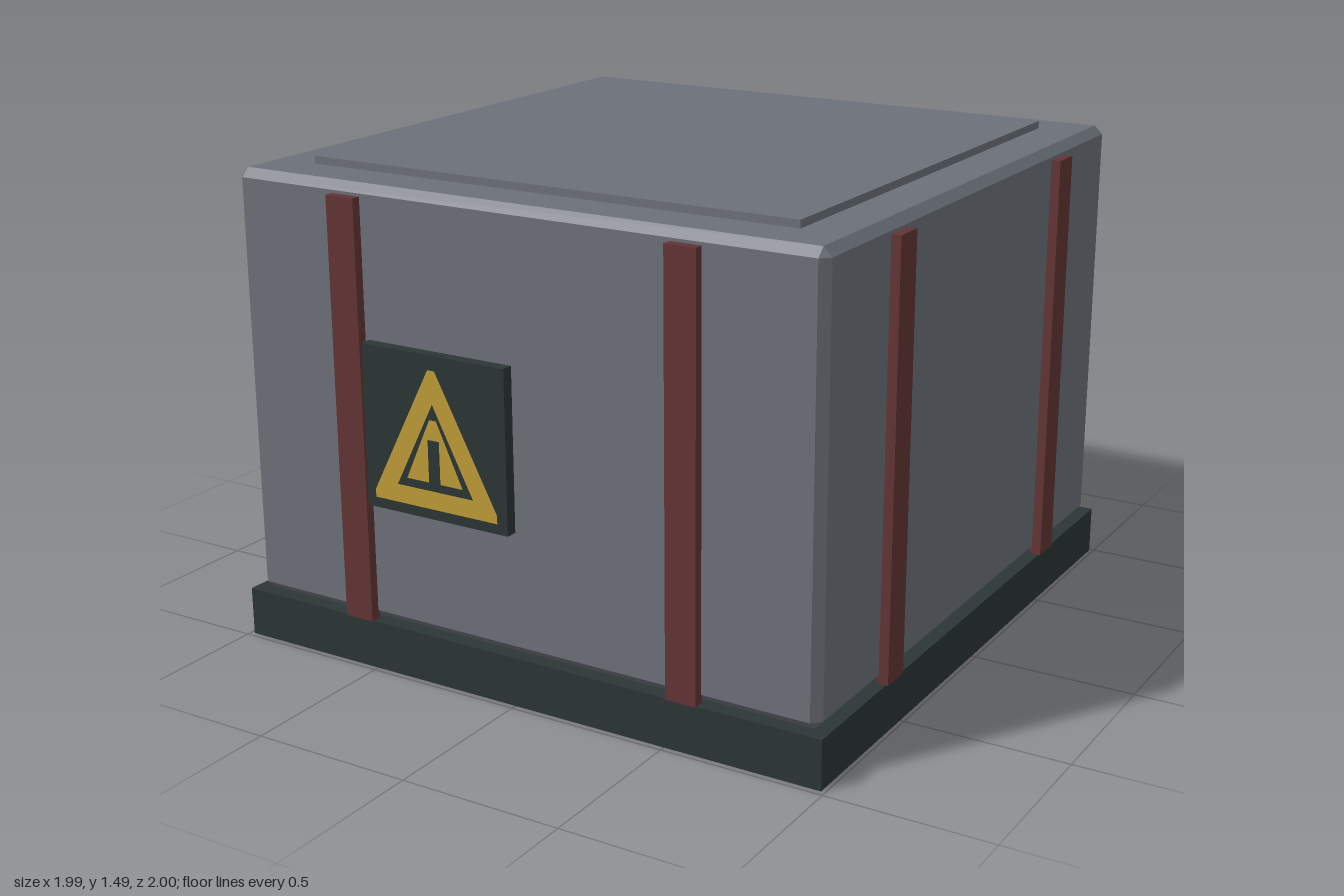
import * as THREE from 'three';
import { ConvexGeometry } from 'three/addons/geometries/ConvexGeometry.js';

const material = (name, color) => {
  const m = new THREE.MeshStandardMaterial({ color });
  m.name = name;
  return m;
};

// Box centred on the origin with all edges and corners cut off
function chamferedBox(w, h, d, c) {
  const points = [];
  for (const sx of [-1, 1]) for (const sy of [-1, 1]) for (const sz of [-1, 1]) {
    const [x, y, z] = [w / 2, h / 2, d / 2];
    points.push(
      new THREE.Vector3(sx * x, sy * (y - c), sz * (z - c)),
      new THREE.Vector3(sx * (x - c), sy * y, sz * (z - c)),
      new THREE.Vector3(sx * (x - c), sy * (y - c), sz * z));
  }
  return new ConvexGeometry(points);
}

const polygon = (Type, points) => new Type(points.map(([x, y]) => new THREE.Vector2(x, y)));

export function createModel() {
  const steel = material('grey steel', 0x6c7079);
  const dark = material('dark green grey', 0x2c3634);
  const red = material('dull red', 0x633434);
  const yellow = material('warning yellow', 0xbf9c38);

  const model = new THREE.Group();
  model.name = 'crate';
  const crate = new THREE.Group();
  crate.name = 'crateParts';
  crate.position.z = -0.005;
  model.add(crate);

  const add = (name, geometry, mat, x, y, z, parent = crate) => {
    const mesh = new THREE.Mesh(geometry, mat);
    mesh.name = name;
    mesh.position.set(x, y, z);
    parent.add(mesh);
    return mesh;
  };

  // Base, body and raised lid panel
  add('base', new THREE.BoxGeometry(1.975, 0.15, 1.975), dark, 0, 0.075, 0);
  add('body', chamferedBox(1.93, 1.315, 1.93, 0.026), steel, 0, 0.8075, 0);
  add('lidPanel', new THREE.BoxGeometry(1.605, 0.03, 1.605), steel, 0, 1.473, 0);

  // Two upright straps on each of the four sides
  const strap = new THREE.BoxGeometry(0.097, 1.28, 0.035);
  for (let side = 0; side < 4; side++) {
    const straps = new THREE.Group();
    straps.name = 'sideStraps';
    straps.rotation.y = side * Math.PI / 2;
    crate.add(straps);
    for (const x of [-0.557, 0.557]) add('strap', strap, red, x, 0.79, 0.9765, straps);
  }

  // Warning sign: dark plate with a yellow triangle frame and inner symbol
  const sign = new THREE.Group();
  sign.name = 'warningSign';
  sign.position.set(-0.248, 0, 0);
  model.add(sign);
  add('signPlate', new THREE.BoxGeometry(0.495, 0.49, 0.037), dark, 0, 0.77, 0.9775, sign);

  const frame = polygon(THREE.Shape,
    [[-0.215, 0.557], [0.215, 0.557], [0.215, 0.582], [0.012, 0.972], [-0.012, 0.972], [-0.215, 0.582]]);
  frame.holes.push(polygon(THREE.Path, [[-0.133, 0.612], [0, 0.872], [0.133, 0.612]]));
  add('signTriangle', new THREE.ShapeGeometry(frame), yellow, 0, 0, 0.9995, sign);

  const symbol = polygon(THREE.Shape,
    [[-0.098, 0.637], [-0.02, 0.637], [-0.02, 0.765], [0.02, 0.765], [0.02, 0.637],
      [0.098, 0.637], [0.012, 0.825], [-0.012, 0.825]]);
  add('signSymbol', new THREE.ShapeGeometry(symbol), yellow, 0, 0, 0.9995, sign);

  return model;
}
